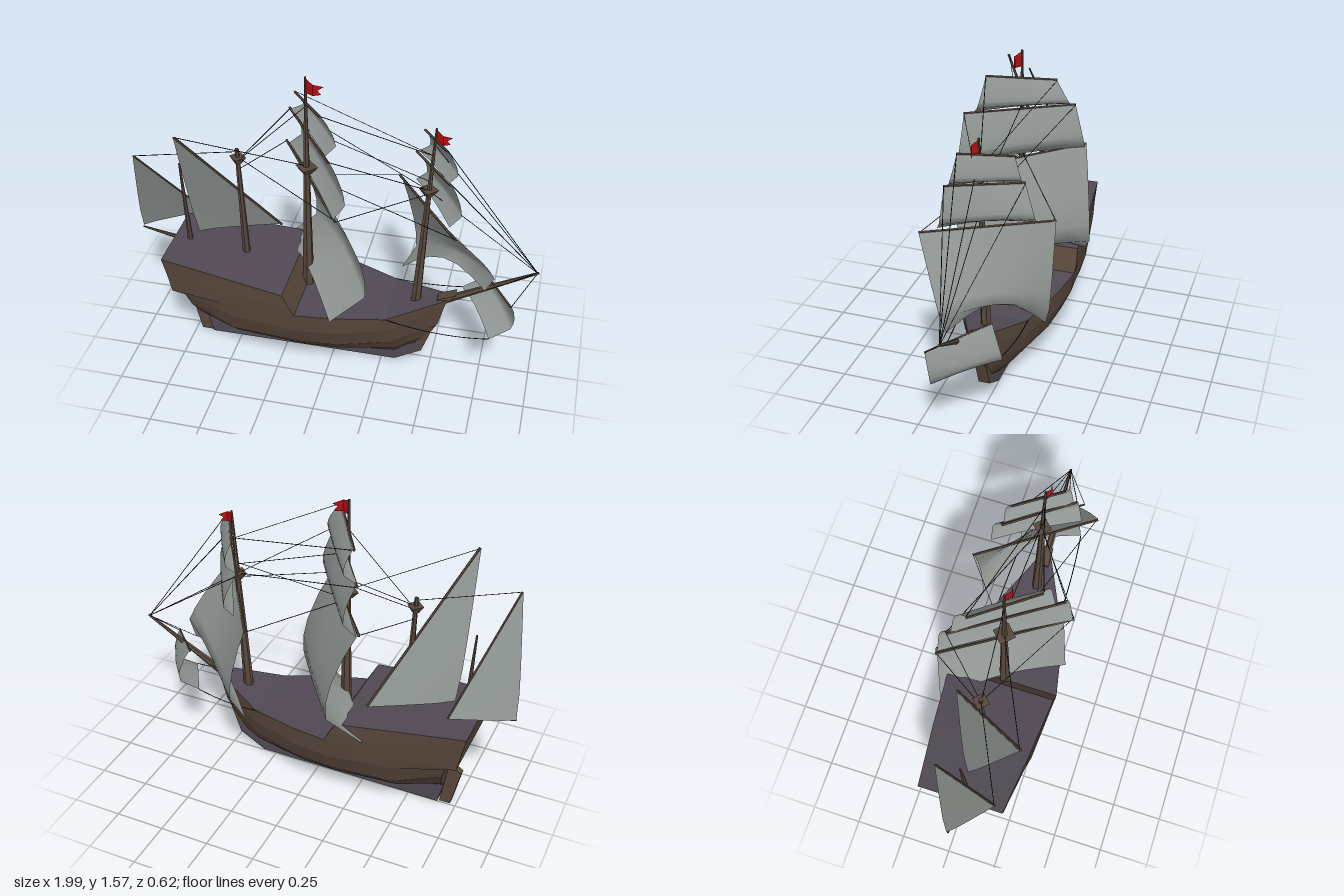
import * as THREE from 'three';

const paint = (name, color, flat = false) => {
  const m = new THREE.MeshStandardMaterial({ color, flatShading: flat, side: THREE.DoubleSide });
  m.name = name;
  return m;
};
const V = (p) => new THREE.Vector3(...p);
const C = 0.027; // centre line of the ship in z

export function createModel() {
  const ship = new THREE.Group();
  ship.name = 'sailingShip';
  const hullWood = paint('hull brown', 0x57463a);
  const deckPaint = paint('deck purple grey', 0x504953, true);
  const mastWood = paint('mast brown', 0x57473b, true);
  const canvas = paint('sail grey', 0x8d9390);
  const ropePaint = paint('rope black', 0x1d1d1d);
  const flagRed = paint('flag red', 0xb80c10, true);

  const add = (name, geo, mat) => {
    const m = new THREE.Mesh(geo, mat);
    m.name = name;
    ship.add(m);
    return m;
  };

  // Surface through rows of points, all rows equally long
  const surface = (rows) => {
    const n = rows[0].length, idx = [];
    for (let i = 0; i < rows.length - 1; i++)
      for (let j = 0; j < n - 1; j++) {
        const a = i * n + j, b = a + n;
        idx.push(a, b, a + 1, b, b + 1, a + 1);
      }
    const g = new THREE.BufferGeometry();
    g.setAttribute('position', new THREE.Float32BufferAttribute(rows.flat(2), 3));
    g.setIndex(idx);
    g.computeVertexNormals();
    return g;
  };
  // Points given as [x, y, half width]
  const side = (row, s) => row.map(([x, y, w]) => [x, y, C + s * w]);
  const across = (row) => surface([side(row, 1), side(row, -1)]);

  // Planked sides: one strip per strake, so the edges between strakes stay sharp
  const planking = (name, rows) => {
    for (let i = 0; i < rows.length - 1; i++) {
      add(name + 'Left', surface([side(rows[i], 1), side(rows[i + 1], 1)]), hullWood);
      add(name + 'Right', surface([side(rows[i + 1], -1), side(rows[i], -1)]), hullWood);
    }
  };

  // Upright plate cut from a side outline
  const plate = (name, pts, thick, mat) => {
    const shape = new THREE.Shape(pts.map(([x, y]) => new THREE.Vector2(x, y)));
    const g = new THREE.ExtrudeGeometry(shape, { depth: thick, bevelEnabled: false });
    g.translate(0, 0, C - thick / 2);
    add(name, g, mat);
  };

  // Tapered round bar between two points
  const bar = (name, p, q, r0, r1, mat, sides = 6) => {
    const a = V(p), b = V(q), d = b.clone().sub(a);
    const m = add(name, new THREE.CylinderGeometry(r1, r0, d.length(), sides), mat);
    m.position.copy(a).add(b).multiplyScalar(0.5);
    m.quaternion.setFromUnitVectors(new THREE.Vector3(0, 1, 0), d.normalize());
  };

  // Hull strakes, from the rail down to the keel
  const hull = [
    [[-.79, .39, .205], [-.47, .39, .25], [-.14, .41, .278], [.05, .395, .24], [.29, .375, .165], [.57, .44, .03]],
    [[-.73, .365, .19], [-.47, .325, .25], [-.14, .3, .262], [.05, .295, .235], [.3, .3, .157], [.555, .385, .028]],
    [[-.71, .29, .165], [-.47, .22, .22], [-.14, .195, .215], [.05, .195, .2], [.31, .205, .128], [.53, .28, .024]],
    [[-.69, .19, .1], [-.47, .135, .135], [-.14, .115, .14], [.05, .115, .13], [.32, .125, .08], [.485, .19, .018]],
    [[-.68, .12, .025], [-.47, .07, .03], [-.14, .045, .035], [.05, .045, .035], [.32, .065, .025], [.45, .12, .01]],
  ];
  // Stern castle, from its top rail down to the hull rail
  const castle = [
    [[-.83, .585, .214], [-.5, .555, .25], [-.2, .52, .275]],
    [[-.81, .49, .207], [-.49, .465, .252], [-.165, .455, .28]],
    [[-.79, .39, .205], [-.47, .39, .25], [-.14, .41, .278]],
  ];
  planking('hullStrake', hull);
  planking('castleStrake', castle);
  add('transom', across(hull.map((r) => r[0])), hullWood);
  add('castleBack', across(castle.map((r) => r[0])), hullWood);
  add('castleFront', across(castle.map((r) => r[2])), hullWood);
  add('castleDeck', across(castle[0]), deckPaint);
  add('mainDeck', across(hull[0].slice(2)), deckPaint);

  // Keel, stem and rudder
  plate('keel', [[-.685, .13], [-.655, .005], [.32, .01], [.455, .09], [.46, .15], [.3, .09], [0, .07], [-.47, .09]], .055, deckPaint);
  plate('stem', [[.455, .09], [.52, .285], [.56, .41], [.61, .475], [.52, .435], [.47, .28], [.42, .13]], .055, hullWood);
  plate('rudder', [[-.75, .365], [-.718, .365], [-.663, .005], [-.72, .005], [-.765, .21], [-.725, .235]], .035, hullWood);

  // Masts, bowsprit and stern boom
  bar('aftMast', [-.75, .55, C], [-.775, 1.02, C], .014, .005, mastWood);
  bar('mizzenMast', [-.455, .52, C], [-.478, 1.145, C], .02, .01, mastWood);
  bar('mainMast', [-.137, .38, C], [-.137, 1.57, C], .03, .005, mastWood);
  bar('foreMast', [.41, .36, C], [.465, 1.385, C], .027, .005, mastWood);
  bar('bowsprit', [.5, .39, C], [.99, .665, C], .022, .006, mastWood);
  bar('sternBoom', [-.8, .57, C], [-1, .61, C], .012, .004, mastWood);

  // Crow's nests
  for (const [x, y, r] of [[-.475, 1.085, .042], [-.137, 1.08, .056], [.445, 1.04, .048]]) {
    const nest = add('crowsNest', new THREE.CylinderGeometry(r, r * .45, .035, 4), mastWood);
    nest.position.set(x, y, C);
  }

  // Sail hung from yard a-b down to corners a2-b2, billowing forward
  const profile = [[0, 0], [.2, .4], [.45, .78], [.62, .94], [.78, .97], [1, 0]];
  const sail = (name, a, b, a2, b2, bulge, arch, yard = .0065) => {
    const [A, B, A2, B2] = [a, b, a2, b2].map(V);
    const out = new THREE.Vector3(B.z - A.z, 0, (A.x - B.x) * .6).normalize();
    const rows = profile.map(([t, f]) => {
      const row = [];
      for (let j = 0; j <= 6; j++) {
        const u = j / 6, mid = Math.sin(Math.PI * u);
        const p = A.clone().lerp(B, u).lerp(A2.clone().lerp(B2, u), t);
        p.addScaledVector(out, bulge * f * (.97 + .1 * mid));
        p.y += arch * mid * t ** 3;
        row.push(p.toArray());
      }
      return row;
    });
    add(name, surface(rows), canvas);
    // the yard lies just behind the head of the sail
    const back = out.multiplyScalar(-yard * Math.sign(bulge));
    bar(name + 'Yard', A.add(back).toArray(), B.add(back).toArray(), yard, yard, mastWood, 5);
  };
  // Main mast
  sail('mainCourse', [-.305, 1.055, -.25], [.07, 1, .3], [-.34, .455, -.25], [.035, .4, .3], .175, .1);
  sail('mainTopsail', [-.27, 1.27, -.2], [.03, 1.285, .26], [-.295, 1.045, -.245], [.055, 1.01, .3], .06, .02);
  sail('mainTopgallant', [-.22, 1.405, -.12], [-.03, 1.46, .17], [-.265, 1.275, -.18], [0, 1.29, .22], .055, .01);
  // Fore mast
  sail('foreCourse', [.265, .925, -.265], [.615, .96, .26], [.295, .385, -.23], [.75, .56, .09], .08, .13);
  sail('foreTopsail', [.36, 1.145, -.15], [.565, 1.18, .155], [.35, .955, -.2], [.57, .975, .19], .055, .02);
  sail('foreTopgallant', [.4, 1.287, -.115], [.53, 1.325, .105], [.365, 1.155, -.14], [.55, 1.18, .145], .045, .01);
  // Under the bowsprit
  sail('spritsail', [.68, .6, -.1], [.885, .53, .14], [.62, .395, -.125], [.795, .325, .16], .09, .035, .005);
  // Three-cornered stern sails
  sail('mizzenLateen', [-.33, .605, -.16], [-.69, 1.325, .275], [-.7, .63, .025], [-.7, .63, .025], -.012, 0);
  sail('aftLateen', [-.72, .64, -.135], [-.915, 1.17, .235], [-1, .615, .02], [-1, .615, .02], -.01, 0, .005);

  // Rigging
  const tip = [.985, .662, C];
  const ropes = [
    [[.46, 1.3, C], tip], [[.445, 1.05, C], tip], [[.53, 1.325, .105], tip],
    [[.565, 1.18, .155], tip], [[.36, 1.145, -.15], tip], [[.75, .56, .09], tip], [[.885, .53, .14], tip],
    [[-.03, 1.46, .17], [.46, 1.24, C]], [[-.22, 1.405, -.12], [.46, 1.24, C]],
    [[.03, 1.285, .26], [.445, 1.05, C]], [[-.27, 1.27, -.2], [.445, 1.05, C]],
    [[.07, 1, .3], [.445, 1.03, C]], [[-.137, 1.3, C], [.45, 1.1, C]],
    [[-.305, 1.055, -.25], [-.475, 1.03, C]], [[.07, 1, .3], [-.475, 1.1, C]],
    [[-.137, 1.42, C], [-.475, 1.08, C]], [[-.27, 1.27, -.2], [-.475, 1.08, C]],
    [[-.69, 1.325, .275], [-.137, 1.1, C]], [[-.915, 1.17, .235], [-.475, 1.13, C]],
    [[.265, .925, -.265], [-.137, 1.05, C]], [[.615, .96, .26], [-.137, 1.05, C]],
  ];
  for (const [p, q] of ropes) bar('rope', p, q, .0018, .0018, ropePaint, 4);
  // Slack sheets from the spritsail back to the rail
  for (const [p, m, q] of [
    [[.795, .325, .16], [.55, .31, .19], [.28, .375, .19]],
    [[.62, .395, -.125], [.45, .36, -.14], [.28, .375, -.14]],
  ]) {
    const curve = new THREE.QuadraticBezierCurve3(V(p), V(m), V(q));
    add('slackSheet', new THREE.TubeGeometry(curve, 12, .0025, 4), ropePaint);
  }

  // Swallow-tailed flags with a fold along the middle
  const cloth = [
    [[0, 0, 0], [.04, -.017, .026], [.085, -.035, .004]],
    [[0, -.037, 0], [.04, -.043, .026], [.06, -.05, .016]],
    [[0, -.075, 0], [.04, -.074, .026], [.076, -.073, .008]],
  ];
  for (const [x, y, k] of [[-.137, 1.565, 1], [.465, 1.378, .88]]) {
    const flag = add('flag', surface(cloth), flagRed);
    flag.position.set(x, y, C);
    flag.scale.setScalar(k);
  }
  return ship;
}
